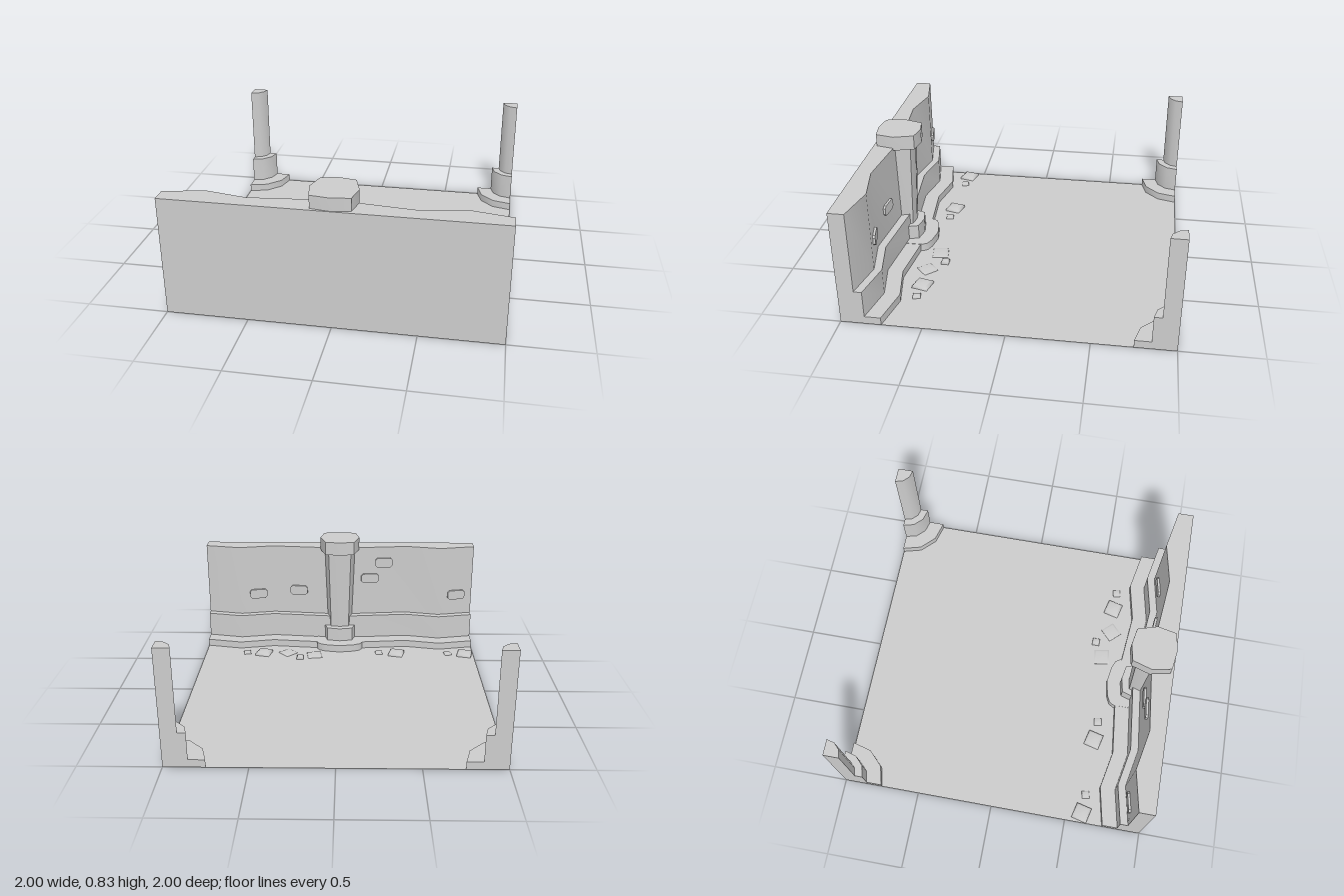
import * as THREE from 'three';
import { toCreasedNormals } from 'three/addons/utils/BufferGeometryUtils.js';

const material = new THREE.MeshStandardMaterial({ color: 0xcccccc });

function add(parent, name, geometry) {
  const mesh = new THREE.Mesh(geometry, material);
  mesh.name = name;
  parent.add(mesh);
  return mesh;
}

// Upright prism over a plan outline of [x, z] points
function prism(plan, y0, y1) {
  const shape = new THREE.Shape(plan.map(([x, z]) => new THREE.Vector2(x, -z)));
  const g = new THREE.ExtrudeGeometry(shape, { depth: y1 - y0, bevelEnabled: false });
  g.rotateX(-Math.PI / 2).translate(0, y0, 0);
  return toCreasedNormals(g, 0.65);
}

// Heights shared by the wall and the corner posts, with the reach of each tier
const tiers = [
  { name: 'Ledge', y0: 0, y1: 0.05, reach: 0.25 },
  { name: 'Step', y0: 0.05, y1: 0.225, reach: 0.15 },
  { name: 'Shaft', y0: 0.225, y1: 0.75, reach: 0.1 },
];

// Wavy inner edge of the wall: nearer the room by 0.05 at every bulge
const wave = [[-1, 0], [-0.75, 0.05], [-0.5, 0], [0, 0.05], [0.5, 0], [0.75, 0.05], [1, 0]];

function wallZ(x) {
  const i = Math.max(1, wave.findIndex(([wx]) => wx >= x));
  const [x0, d0] = wave[i - 1], [x1, d1] = wave[i];
  const slope = (d1 - d0) / (x1 - x0);
  return { z: 0.9 - d0 - slope * (x - x0), angle: Math.atan(slope) };
}

// Pillar outline, centred on its own axis
const capPlan = [[0, -0.14], [0.105, -0.12], [0.143, 0.005], [0.118, 0.125],
  [0, 0.142], [-0.118, 0.125], [-0.143, 0.005], [-0.105, -0.12]];
const pillarZ = 0.853;
const scaledPlan = (sx, sz) => capPlan.map(([x, z]) => [x * sx, pillarZ + z * sz]);

// Shaft that widens from bottom to top
function taperedShaft(y0, y1) {
  const g = prism(scaledPlan(1, 1), y0, y1);
  const p = g.attributes.position;
  for (let i = 0; i < p.count; i++) {
    const t = (p.getY(i) - y0) / (y1 - y0);
    p.setX(i, p.getX(i) * (0.62 + 0.16 * t));
    p.setZ(i, pillarZ + (p.getZ(i) - pillarZ) * (0.52 + 0.2 * t));
  }
  return toCreasedNormals(g, 0.65);
}

// Wall brick with clipped corners, facing the room
function brickGeometry() {
  const w = 0.065, h = 0.035, c = 0.015;
  const shape = new THREE.Shape([[-w + c, -h], [w - c, -h], [w, -h + c], [w, h - c],
    [w - c, h], [-w + c, h], [-w, h - c], [-w, -h + c]].map(([x, y]) => new THREE.Vector2(x, y)));
  return new THREE.ExtrudeGeometry(shape, { depth: 0.03, bevelEnabled: false }).translate(0, 0, -0.015);
}

// Low square cobble with a domed top
function stoneGeometry(size, height) {
  const r = size * Math.SQRT1_2;
  const profile = [[r, 0], [r * 0.97, 0.5], [r * 0.72, 0.92], [0, 1]]
    .map(([x, y]) => new THREE.Vector2(x, y * height));
  return new THREE.LatheGeometry(profile, 4, Math.PI / 4);
}

export function createModel() {
  const model = new THREE.Group();
  model.name = 'roomTile';

  // Floor
  const floor = add(model, 'floor', new THREE.PlaneGeometry(2, 2).rotateX(-Math.PI / 2));
  floor.material = material.clone();
  floor.material.side = THREE.DoubleSide;

  // Wavy stepped wall
  const wall = new THREE.Group();
  wall.name = 'wall';
  model.add(wall);
  for (const { name, y0, y1, reach } of tiers) {
    const edge = wave.map(([x, d]) => [x, 1 - reach - d]).reverse();
    add(wall, 'wall' + name, prism([[-1, 1], [1, 1], ...edge], y0, y1));
  }

  // Bricks standing proud of the wall
  const brick = brickGeometry();
  for (const [x, y] of [[0.62, 0.38], [0.31, 0.41], [-0.33, 0.63], [-0.225, 0.51], [-0.88, 0.38]]) {
    const { z, angle } = wallZ(x);
    const mesh = add(wall, 'brick', brick);
    mesh.position.set(x, y, z);
    mesh.rotation.y = angle;
  }

  // Pillar: plinth, collar, shaft and cap
  const pillar = new THREE.Group();
  pillar.name = 'pillar';
  model.add(pillar);
  const plinth = [[-0.17, 0.9], [0.17, 0.9], [0.17, 0.705], [0.15, 0.675], [0.105, 0.655],
    [0, 0.637], [-0.105, 0.655], [-0.15, 0.675], [-0.17, 0.705]];
  add(pillar, 'plinth', prism(plinth, 0, 0.052));
  add(pillar, 'collar', prism(scaledPlan(0.88, 0.88), 0.05, 0.15));
  add(pillar, 'shaft', taperedShaft(0.15, 0.735));
  add(pillar, 'cap', prism(scaledPlan(1, 1), 0.735, 0.83));

  // Quarter-round stepped posts in the two back corners
  for (const side of [-1, 1]) {
    const post = new THREE.Group();
    post.name = side > 0 ? 'leftPost' : 'rightPost';
    model.add(post);
    for (const { name, y0, y1, reach } of tiers) {
      const plan = [[side, -1]];
      for (let i = 0; i <= 3; i++) {
        const a = (i * Math.PI) / 6;
        plan.push([side * (1 - reach * Math.cos(a)), -1 + reach * Math.sin(a)]);
      }
      add(post, 'post' + name, prism(plan, y0, y1));
    }
  }

  // Loose stones along the foot of the wall: x, z, size, height, turn
  const stones = [
    [-0.935, 0.605, 0.105, 0.025, -0.24], [-0.81, 0.613, 0.05, 0.015, 0.2],
    [-0.425, 0.61, 0.105, 0.025, -0.24], [-0.295, 0.62, 0.05, 0.015, 0.15],
    [0.185, 0.577, 0.105, 0.012, 0.15], [0.29, 0.52, 0.05, 0.025, 0],
    [0.385, 0.617, 0.1, 0.012, 0.75], [0.565, 0.605, 0.105, 0.025, -0.24],
    [0.69, 0.613, 0.05, 0.015, 0.2],
  ];
  for (const [x, z, size, height, turn] of stones) {
    const stone = add(model, 'stone', stoneGeometry(size, height));
    stone.position.set(x, 0, z);
    stone.rotation.y = turn;
  }
  return model;
}
